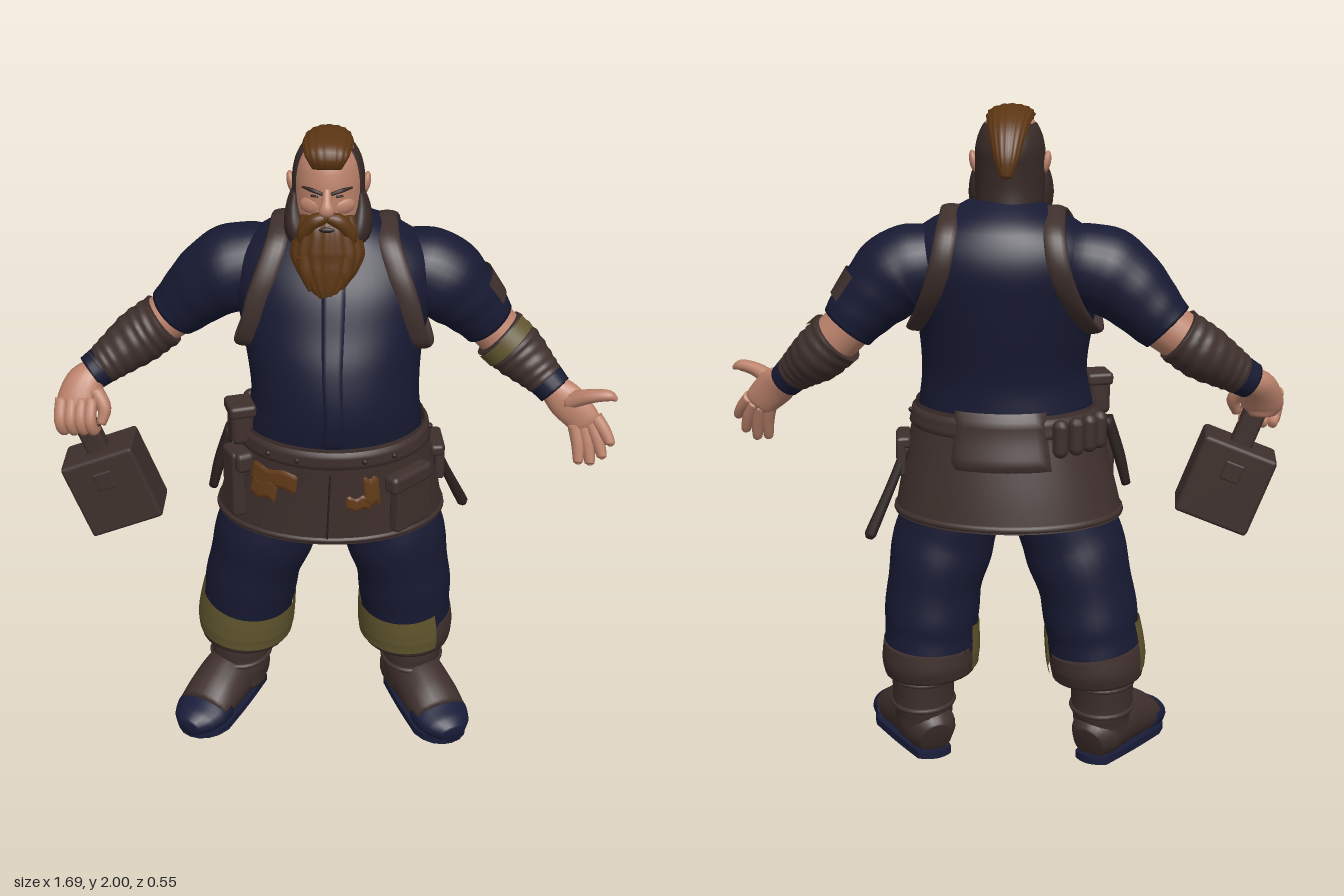
import * as THREE from 'three';
import { mergeVertices } from 'three/addons/utils/BufferGeometryUtils.js';
import { RoundedBoxGeometry } from 'three/addons/geometries/RoundedBoxGeometry.js';

const V = (x, y, z) => new THREE.Vector3(x, y, z);
const D = Math.PI / 180;

function makeMaterials() {
  const colours = { navyCloth: 0x181a33, toeBlue: 0x191d3a, brownLeather: 0x3f302d, darkLeather: 0x2b211f,
    skin: 0xbb826b, hair: 0x5c3613, shavedHair: 0x382a27, rustPatch: 0x653c18, oliveCloth: 0x61562e };
  const out = {};
  for (const [name, color] of Object.entries(colours)) {
    out[name] = new THREE.MeshStandardMaterial({ color, side: THREE.DoubleSide });
    out[name].name = name;
  }
  return out;
}

function build(pos, idx) {
  const g = new THREE.BufferGeometry();
  g.setAttribute('position', new THREE.Float32BufferAttribute(pos, 3));
  g.setIndex(idx);
  const w = mergeVertices(g, 1e-5);
  w.computeVertexNormals();
  return w;
}

// Sweep an ellipse along a smooth path; each point is [x, y, z, radius along side, other radius]
function sweep(pts, { side = V(1, 0, 0), seg = 20, per = 6, fold = 0, waves = 8, ridge = 0, ridges = 9, arc = null } = {}) {
  const path = new THREE.CatmullRomCurve3(pts.map(p => V(p[0], p[1], p[2])));
  const rad = new THREE.CatmullRomCurve3(pts.map(p => V(p[3], p[4] ?? p[3], 0)));
  const n = (pts.length - 1) * per, pos = [], idx = [], [a0, a1] = arc ?? [0, 360];
  for (let i = 0; i <= n; i++) {
    const u = i / n, c = path.getPoint(u), t = path.getTangent(u), r = rad.getPoint(u);
    const s = side.clone().addScaledVector(t, -side.dot(t)).normalize(), m = t.clone().cross(s);
    for (let j = 0; j <= seg; j++) {
      const a = (a0 + (a1 - a0) * j / seg) * D;
      const k = 1 + fold * Math.sin(u * waves * 6.283 + 1.5 * Math.sin(a)) + ridge * Math.cos(a * ridges);
      const p = c.clone().addScaledVector(s, r.x * k * Math.cos(a)).addScaledVector(m, r.y * k * Math.sin(a));
      pos.push(p.x, p.y, p.z);
      if (i < n && j < seg) {
        const q = i * (seg + 1) + j, w = q + seg + 1;
        idx.push(q, q + 1, w, q + 1, w + 1, w);
      }
    }
  }
  if (!arc) for (const [row, flip] of [[0, 1], [n, 0]]) { // end caps
    const c = path.getPoint(row / n), k = pos.length / 3;
    pos.push(c.x, c.y, c.z);
    for (let j = 0; j < seg; j++) {
      const q = row * (seg + 1) + j;
      flip ? idx.push(k, q + 1, q) : idx.push(k, q, q + 1);
    }
  }
  return build(pos, idx);
}

// Surface through level ellipses [y, centre x, radius x, front z, back z]; angle 0 faces the front
function surface(rings) {
  const vals = rings.flatMap(([, cx, rx, f, b]) => [cx, rx, (f + b) / 2, (f - b) / 2]);
  const spline = new THREE.CubicInterpolant(new Float32Array(rings.map(r => r[0])), new Float32Array(vals), 4, new Float32Array(4));
  const at = (th, y, off = 0) => {
    const [cx, rx, cz, rz] = spline.evaluate(y);
    return V(cx + (rx + off) * Math.sin(th), y, cz + (rz + off) * Math.cos(th));
  };
  at.depth = (x, y, sign) => {
    const [cx, rx, cz, rz] = spline.evaluate(y);
    return cz + sign * rz * Math.sqrt(Math.max(0, 1 - ((x - cx) / rx) ** 2));
  };
  return at;
}

// Region of a surface; a raised region has edges sunk back into the surface
function region(f, d0, d1, y0, y1, off = 0, nt = 12, ny = 6, wave = 0) {
  const pos = [], idx = [];
  for (let i = 0; i <= ny; i++) for (let j = 0; j <= nt; j++) {
    const edge = i === 0 || i === ny || (j === 0 || j === nt) && d1 - d0 < 360;
    const y = y0 + (y1 - y0) * i / ny + wave * Math.sin(j * 0.8);
    const p = f((d0 + (d1 - d0) * j / nt) * D, y, off && edge ? -0.003 : off);
    pos.push(p.x, p.y, p.z);
    if (i < ny && j < nt) {
      const q = i * (nt + 1) + j, w = q + nt + 1;
      idx.push(q, q + 1, w, q + 1, w + 1, w);
    }
  }
  return build(pos, idx);
}

export function createModel() {
  const M = makeMaterials(), model = new THREE.Group();
  model.name = 'bearded blacksmith';
  const add = (name, geo, mat, parent = model) => {
    const m = new THREE.Mesh(geo, M[mat]);
    m.name = name;
    parent.add(m);
    return m;
  };
  const group = (name) => { const g = new THREE.Group(); g.name = name; model.add(g); return g; };

  // Torso
  const torso = surface([[0.95, 0, 0.25, 0.22, -0.19], [1.1, 0, 0.264, 0.255, -0.19], [1.2, 0.005, 0.25, 0.27, -0.19],
    [1.35, 0, 0.262, 0.245, -0.22], [1.45, 0, 0.282, 0.205, -0.238], [1.55, 0, 0.3, 0.165, -0.25], [1.62, 0, 0.285, 0.125, -0.235],
    [1.68, 0, 0.21, 0.09, -0.2], [1.715, 0, 0.14, 0.06, -0.15], [1.738, 0, 0.095, 0.04, -0.105]]);
  add('shirt', region(torso, 0, 360, 0.95, 1.738, 0, 48, 40), 'navyCloth');
  add('shirtPlacket', region(torso, -6, 8, 1.1, 1.6, 0.007, 8, 24), 'navyCloth');

  // Harness loops round the shoulders
  for (const s of [-1, 1]) {
    const front = [[0.16, 1.68], [0.19, 1.6], [0.217, 1.52], [0.235, 1.44], [0.25, 1.38]];
    const back = [[0.24, 1.38], [0.2, 1.47], [0.17, 1.57], [0.155, 1.66]];
    const line = [[0.15, 1.712, -0.06], ...front.map(([x, y]) => [x, y, torso.depth(x, y, 1) + 0.008]), [0.262, 1.345, -0.02],
      ...back.map(([x, y]) => [x, y, torso.depth(x, y, -1) - 0.008]), [0.15, 1.712, -0.06]];
    add('harnessStrap', sweep(line.map(([x, y, z]) => [s * x, y, z, 0.034, 0.013]), { seg: 12 }), 'brownLeather');
  }

  // Arms: same recipe, slightly different pose on each side
  const arms = {
    right: { s: -1, sleeve: [[0.13, 1.56, -0.08, 0.085], [0.22, 1.555, -0.08, 0.118], [0.3, 1.535, -0.08, 0.13], [0.38, 1.48, -0.09, 0.115], [0.44, 1.42, -0.1, 0.098], [0.485, 1.375, -0.105, 0.085]],
      elbow: [[0.46, 1.39, -0.105, 0.074], [0.55, 1.33, -0.1, 0.074]],
      bracer: [[0.515, 1.352, -0.1, 0.084], [0.58, 1.305, -0.09, 0.085], [0.66, 1.25, -0.06, 0.07], [0.71, 1.215, -0.04, 0.058]],
      cuff: [[0.7, 1.222, -0.045, 0.06], [0.735, 1.2, -0.03, 0.056]] },
    left: { s: 1, sleeve: [[0.13, 1.56, -0.08, 0.085], [0.22, 1.55, -0.08, 0.118], [0.3, 1.525, -0.08, 0.13], [0.37, 1.465, -0.09, 0.115], [0.42, 1.41, -0.1, 0.098], [0.46, 1.36, -0.105, 0.085]],
      elbow: [[0.44, 1.38, -0.105, 0.074], [0.52, 1.3, -0.1, 0.074]],
      bracer: [[0.49, 1.325, -0.1, 0.086], [0.545, 1.275, -0.09, 0.085], [0.605, 1.225, -0.06, 0.068], [0.645, 1.19, -0.04, 0.055]],
      cuff: [[0.635, 1.2, -0.045, 0.058], [0.665, 1.17, -0.03, 0.053]] },
  };
  for (const [side, a] of Object.entries(arms)) {
    const P = l => l.map(([x, y, z, r]) => [a.s * x, y, z, r]), z = { side: V(0, 0, 1) };
    const arm = group(side + 'Arm');
    add('sleeve', sweep(P(a.sleeve), { ...z, seg: 28, fold: 0.01, waves: 5 }), 'navyCloth', arm);
    add('elbowSkin', sweep(P(a.elbow), z), 'skin', arm);
    add('bracer', sweep(P(a.bracer), { ...z, per: 14, fold: 0.022, waves: 7 }), 'brownLeather', arm);
    add('wristCuff', sweep(P(a.cuff), z), 'navyCloth', arm);
    if (side === 'left') {
      add('bracerPatch', sweep(P([[0.497, 1.32, -0.1, 0.091], [0.53, 1.29, -0.093, 0.091]]), { ...z, arc: [-85, 80] }), 'oliveCloth', arm);
      add('sleevePatch', sweep(P([[0.375, 1.46, -0.091, 0.119], [0.432, 1.396, -0.101, 0.102]]), { ...z, arc: [-135, -55] }), 'brownLeather', arm);
    }
  }

  // Open left hand
  const leftHand = group('leftHand'), across = { side: V(0.7, 0.7, 0) };
  add('palm', sweep([[0.645, 1.19, -0.035, 0.04], [0.7, 1.145, -0.005, 0.058, 0.034], [0.755, 1.09, 0.015, 0.05, 0.026], [0.77, 1.07, 0.02, 0.035, 0.015]], across), 'skin', leftHand);
  const fingers = [[[0.725, 1.08], [0.74, 0.97]], [[0.75, 1.08], [0.775, 0.967]], [[0.77, 1.09], [0.81, 0.99]], [[0.785, 1.105], [0.832, 1.035]]];
  for (const [[x, y], [u, v]] of fingers) add('finger', sweep([[x, y, 0.015, 0.022], [(x + u) / 2 + 0.004, (y + v) / 2, 0.035, 0.02], [u, v, 0.055, 0.015], [u, v - 0.006, 0.06, 0.004]], { seg: 10 }), 'skin', leftHand);
  add('thumb', sweep([[0.7, 1.15, 0, 0.03], [0.765, 1.185, 0.035, 0.022], [0.82, 1.195, 0.05, 0.017], [0.843, 1.185, 0.055, 0.006]], { side: V(0, 0, 1), seg: 10 }), 'skin', leftHand);

  // Right hand closed on the hammer
  const rightHand = group('rightHand');
  add('palm', sweep([[-0.715, 1.21, -0.04, 0.042], [-0.755, 1.175, -0.005, 0.06, 0.045], [-0.775, 1.115, 0.03, 0.065, 0.04], [-0.775, 1.08, 0.035, 0.045, 0.03]]), 'skin', rightHand);
  for (let i = 0; i < 4; i++) {
    const x = -0.818 + i * 0.03;
    add('finger', sweep([[x, 1.15, 0.04, 0.02], [x - 0.003, 1.09, 0.075, 0.019], [x + 0.004, 1.055, 0.065, 0.018], [x + 0.01, 1.045, 0.04, 0.014]], { seg: 10 }), 'skin', rightHand);
  }
  add('thumb', sweep([[-0.72, 1.17, 0.02, 0.025], [-0.69, 1.12, 0.045, 0.021], [-0.7, 1.075, 0.065, 0.014]], { seg: 10 }), 'skin', rightHand);
  const hammer = group('hammer');
  hammer.position.set(-0.672, 0.865, 0.045);
  hammer.rotation.z = 0.364;
  add('hammerHead', new RoundedBoxGeometry(0.235, 0.255, 0.155, 1, 0.012), 'brownLeather', hammer);
  add('hammerHandle', new RoundedBoxGeometry(0.068, 0.17, 0.055, 1, 0.012), 'brownLeather', hammer).position.y = 0.19;
  for (const s of [-1, 1]) add('hammerPlate', new RoundedBoxGeometry(0.06, 0.06, 0.012, 1, 0.005), 'brownLeather', hammer).position.set(0, 0.05, s * 0.077);

  // Trousers, hems and boots
  for (const [side, s, shift] of [['right', -1, 0.005], ['left', 1, -0.08]]) {
    const leg = group(side + 'Leg'), X = (x, y) => s * (x + shift * (1 - y / 0.95));
    const L = l => l.map(([x, y, ...r]) => [X(x, y), y, ...r]);
    add('trouserLeg', sweep(L([[0.13, 0.98, -0.005, 0.12, 0.15], [0.155, 0.87, -0.005, 0.14, 0.155], [0.175, 0.78, -0.015, 0.152, 0.168], [0.213, 0.67, -0.022, 0.155, 0.174], [0.25, 0.54, -0.038, 0.146, 0.17],
      [0.27, 0.42, -0.05, 0.144, 0.166], [0.28, 0.34, -0.06, 0.14, 0.16], [0.283, 0.28, -0.06, 0.125, 0.145]]), { seg: 32, fold: 0.014, waves: 5 }), 'navyCloth', leg);
    add('trouserHem', sweep(L([[0.28, 0.36, -0.06, 0.143, 0.165], [0.286, 0.31, -0.06, 0.146, 0.168], [0.288, 0.262, -0.06, 0.14, 0.154]]), { seg: 28 }), 'brownLeather', leg);
    add('oliveTurnUp', sweep(L([[0.27, 0.425, -0.05, 0.149, 0.172], [0.276, 0.38, -0.055, 0.153, 0.176], [0.282, 0.33, -0.06, 0.155, 0.177], [0.285, 0.285, -0.06, 0.15, 0.171]]),
      { seg: 26, arc: s < 0 ? [-20, 205] : [50, 205] }), 'oliveCloth', leg);
    const bx = s < 0 ? -0.308 : 0.25;
    add('bootShaft', sweep([[bx, 0.31, -0.08, 0.1, 0.12], [bx, 0.2, -0.08, 0.096, 0.115], [bx, 0.13, -0.075, 0.09, 0.11], [bx, 0.06, -0.07, 0.08, 0.1]], { fold: 0.012, waves: 3 }), 'brownLeather', leg);
    for (const y of [0.165, 0.25]) {
      const band = add('bootBand', new THREE.TorusGeometry(0.094, 0.008, 8, 28), 'brownLeather', leg);
      band.rotation.x = Math.PI / 2;
      band.position.set(bx, y, -0.08);
      band.scale.y = 1.2;
    }
    const foot = new THREE.Group();
    foot.name = 'foot';
    foot.position.set(s < 0 ? -0.362 : 0.292, 0, 0.011);
    foot.rotation.y = s * 0.48;
    leg.add(foot);
    add('bootFoot', sweep([[0, 0.065, -0.2, 0.05, 0.058], [0, 0.082, -0.16, 0.078, 0.08], [0, 0.1, -0.06, 0.085, 0.098], [0, 0.084, 0.04, 0.09, 0.082], [0, 0.06, 0.12, 0.088, 0.058]]), 'brownLeather', foot);
    add('toeCap', sweep([[0, 0.062, 0.085, 0.092, 0.062], [0, 0.054, 0.13, 0.091, 0.053], [0, 0.047, 0.175, 0.074, 0.045], [0, 0.04, 0.212, 0.038, 0.03]]), 'toeBlue', foot);
    const sole = new THREE.Shape();
    sole.moveTo(-0.055, -0.18).quadraticCurveTo(0, -0.225, 0.055, -0.18).bezierCurveTo(0.078, -0.03, 0.08, 0.02, 0.088, 0.11)
      .bezierCurveTo(0.073, 0.235, -0.073, 0.235, -0.088, 0.11).bezierCurveTo(-0.08, 0.02, -0.078, -0.03, -0.055, -0.18);
    const soleGeo = new THREE.ExtrudeGeometry(sole, { depth: 0.024, bevelEnabled: false, curveSegments: 8 });
    add('bootSole', soleGeo.rotateX(Math.PI / 2).translate(0, 0.024, 0), 'toeBlue', foot);
  }

  // Leather apron skirt, belt and patches
  const skirt = surface([[0.775, -0.012, 0.348, 0.242, -0.268], [0.87, -0.008, 0.328, 0.247, -0.25], [0.98, -0.003, 0.302, 0.254, -0.225], [1.06, 0, 0.284, 0.26, -0.205], [1.115, 0, 0.274, 0.262, -0.2]]);
  add('apronSkirt', region(skirt, 0, 360, 0.775, 1.115, 0, 56, 12), 'brownLeather');
  add('belt', region(skirt, 0, 360, 1.04, 1.105, 0.008, 56, 6), 'brownLeather');
  add('apronHem', region(skirt, 0, 360, 0.777, 0.8, 0.005, 56, 4), 'brownLeather');
  add('apronSlit', region(skirt, -0.7, 0.5, 0.78, 1.04, 0.006, 4, 10), 'darkLeather');
  add('backPanel', region(skirt, 150, 210, 0.95, 1.125, 0.014, 14, 8), 'brownLeather');
  for (const [a, b, y0, y1] of [[-53, -18, 0.95, 1.02], [-50, -30, 0.905, 0.975], [19, 29, 0.905, 1.012], [9, 23, 0.895, 0.945]])
    add('rustPatch', region(skirt, a, b, y0, y1, 0.005, 14, 8, 0.005), 'rustPatch');
  const onSkirt = (name, geo, mat, deg, y, off, roll = 0) => {
    const m = add(name, geo, mat);
    m.position.copy(skirt(deg * D, y, off));
    m.rotation.set(0, deg * D, roll, 'YXZ');
  };
  for (const a of [-40, -20, 20, 40, 90]) onSkirt('beltStud', new THREE.SphereGeometry(0.009, 8, 6), 'darkLeather', a, 1.072, 0.008);
  const box = (w, h, d) => new RoundedBoxGeometry(w, h, d, 2, Math.min(w, h, d) * 0.3);
  for (const [deg, y, w, h, d] of [[47, 0.915, 0.15, 0.19, 0.04], [97, 0.95, 0.12, 0.12, 0.03], [-62, 0.93, 0.085, 0.22, 0.045], [-72, 1.12, 0.085, 0.13, 0.07]]) {
    onSkirt('pouch', box(w, h, d), 'brownLeather', deg, y, 0.014);
    onSkirt('pouchFlap', box(w + 0.012, h * 0.3, d + 0.012), 'brownLeather', deg, y + h * 0.37, 0.014);
  }
  add('toolSheath', sweep([[-0.31, 1.06, 0.03, 0.018, 0.03], [-0.345, 0.95, 0.03, 0.018, 0.028], [-0.37, 0.85, 0.03, 0.014, 0.02]], { seg: 12 }), 'darkLeather');
  for (let i = 0; i < 4; i++) onSkirt('beltVial', new THREE.CapsuleGeometry(0.024, 0.07, 4, 10), 'brownLeather', -112 - i * 11, 1.05, 0.024);
  add('baton', sweep([[0.29, 0.99, -0.05, 0.014], [0.345, 0.85, -0.09, 0.015], [0.4, 0.72, -0.125, 0.018], [0.406, 0.705, -0.128, 0.01]], { seg: 10 }), 'darkLeather');

  // Head
  const head = group('head'), skull = surface([[1.64, 0, 0.09, 0.06, -0.12], [1.72, 0, 0.096, 0.095, -0.112], [1.77, 0, 0.1, 0.118, -0.108], [1.83, 0, 0.1, 0.122, -0.112],
    [1.89, 0, 0.097, 0.118, -0.115], [1.94, 0, 0.08, 0.1, -0.092], [1.97, 0, 0.052, 0.065, -0.055], [1.982, 0, 0.005, 0.01, 0]]);
  head.position.x = -0.015;
  add('face', region(skull, 0, 360, 1.64, 1.982, 0, 40, 28), 'skin', head);
  add('shavedSides', region(skull, 62, 298, 1.64, 1.965, 0.004, 36, 20), 'shavedHair', head);
  add('nose', sweep([[0, 1.865, 0.112, 0.012], [0, 1.835, 0.13, 0.015], [0, 1.81, 0.14, 0.022, 0.016], [0, 1.797, 0.13, 0.016, 0.01]]), 'skin', head);
  for (const s of [-1, 1]) {
    add('cheek', new THREE.SphereGeometry(0.035, 14, 10).scale(1, 0.7, 0.4).rotateY(s * 0.4).translate(s * 0.046, 1.812, 0.1), 'skin', head);
    add('eye', region(skull, s * 21 - 7, s * 21 + 7, 1.841, 1.85, 0.005, 6, 3), 'darkLeather', head);
    add('eyebrow', sweep([[s * 0.012, 1.855, 0.124, 0.005], [s * 0.04, 1.864, 0.118, 0.006], [s * 0.07, 1.863, 0.09, 0.003]], { side: V(0, 1, 0), seg: 10 }), 'shavedHair', head);
    add('ear', new THREE.SphereGeometry(0.034, 14, 10).scale(0.4, 1, 0.65).rotateZ(-s * 0.2).translate(s * 0.106, 1.84, -0.005), 'skin', head);
    add('sideBeard', sweep([[s * 0.094, 1.83, 0.03, 0.012, 0.03], [s * 0.096, 1.78, 0.035, 0.026, 0.045], [s * 0.088, 1.72, 0.05, 0.035, 0.055], [s * 0.06, 1.67, 0.06, 0.025, 0.04]], { ridge: 0.04 }), 'shavedHair', head);
    add('moustache', sweep([[s * 0.002, 1.788, 0.132, 0.014], [s * 0.035, 1.775, 0.128, 0.022], [s * 0.065, 1.735, 0.12, 0.02], [s * 0.075, 1.69, 0.115, 0.007]], { side: V(0, 0, 1), ridge: 0.06 }), 'hair', head);
  }
  add('mouth', new THREE.SphereGeometry(0.02, 12, 8).scale(1.1, 0.4, 0.3).translate(0, 1.756, 0.146), 'darkLeather', head);
  add('beard', sweep([[0, 1.775, 0.075, 0.075, 0.05], [0, 1.735, 0.088, 0.088, 0.062], [0, 1.67, 0.1, 0.103, 0.065], [0, 1.62, 0.122, 0.084, 0.05], [0, 1.57, 0.142, 0.048, 0.03], [0, 1.53, 0.155, 0.01, 0.008]],
    { seg: 72, ridge: 0.04, ridges: 16 }), 'hair', head);
  for (const [x, y] of [[-0.055, 1.57], [0.05, 1.575], [0.018, 1.54]])
    add('beardLock', sweep([[x * 1.1, 1.67, 0.125, 0.03], [x, 1.62, 0.14, 0.024], [x * 0.85, y, 0.15, 0.006]], { seg: 12, ridge: 0.06, ridges: 5 }), 'hair', head);
  add('hairCrest', sweep([[0, 1.925, 0.112, 0.04, 0.012], [0, 1.96, 0.105, 0.06, 0.028], [0, 1.972, 0.04, 0.07, 0.03], [0, 1.965, -0.04, 0.064, 0.032], [0, 1.93, -0.105, 0.052, 0.032], [0, 1.87, -0.148, 0.036, 0.026], [0, 1.815, -0.163, 0.015, 0.013]],
    { seg: 64, ridge: 0.035, ridges: 16 }), 'hair', head);
  return model;
}
